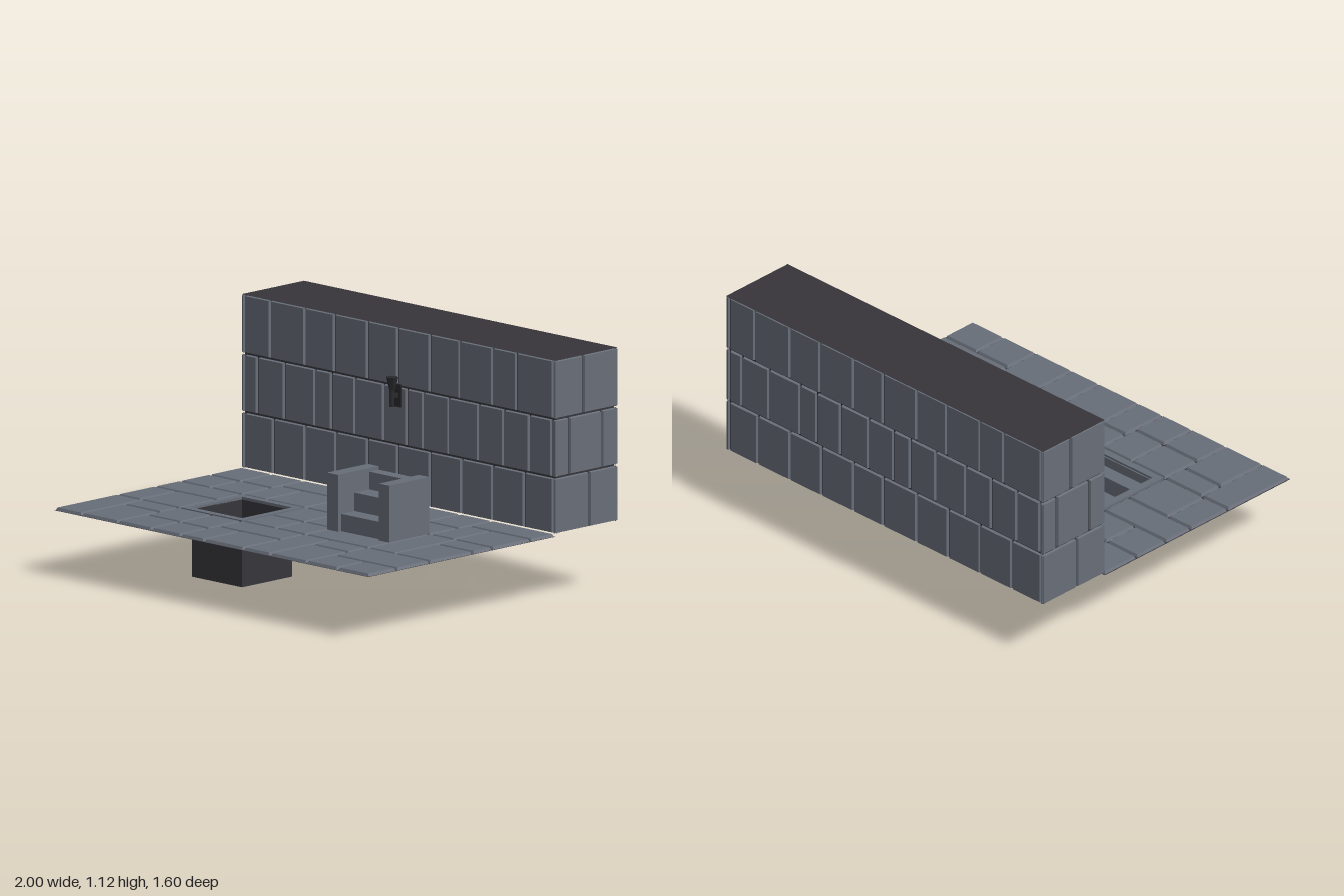
import * as THREE from 'three';
import { mergeGeometries } from 'three/addons/utils/BufferGeometryUtils.js';

const FLOOR = 0.32, BED = 0.307;

// Box given by its low and high corners
function boxGeo(x0, x1, y0, y1, z0, z1) {
  return new THREE.BoxGeometry(x1 - x0, y1 - y0, z1 - z0)
    .translate((x0 + x1) / 2, (y0 + y1) / 2, (z0 + z1) / 2);
}

// Bevelled stone lying in the xy plane, rising along +z
function stoneGeo(x0, x1, y0, y1, depth, bevel = 0.006) {
  const w = x1 - x0, h = y1 - y0;
  const g = new THREE.BoxGeometry(w, h, depth).toNonIndexed();
  const p = g.attributes.position;
  for (let i = 0; i < p.count; i++) {
    if (p.getZ(i) < 0) continue;
    p.setX(i, p.getX(i) - Math.sign(p.getX(i)) * bevel);
    p.setY(i, p.getY(i) - Math.sign(p.getY(i)) * bevel);
  }
  g.computeVertexNormals();
  return g.translate((x0 + x1) / 2, (y0 + y1) / 2, depth / 2);
}

// Rows of bricks across one wall face, split at the given positions
function brickFace(half, cuts) {
  const rows = [[0.847, 1.118], [0.577, 0.847], [0.32, 0.577]];
  const parts = [];
  rows.forEach(([y0, y1], r) => {
    const xs = [-half, ...cuts[r], half];
    for (let i = 0; i < xs.length - 1; i++) {
      const a = xs[i] + (i ? 0.005 : 0);
      const b = xs[i + 1] - (i < xs.length - 2 ? 0.005 : 0);
      parts.push(stoneGeo(a, b, y0 + (r < 2 ? 0.004 : 0), y1 - (r ? 0.004 : 0), 0.013, 0.004));
    }
  });
  return mergeGeometries(parts);
}

export function createModel() {
  const stone = new THREE.MeshStandardMaterial({ color: 0x686e79, side: THREE.DoubleSide });
  stone.name = 'stone';
  const mortar = new THREE.MeshStandardMaterial({ color: 0x37353b, side: THREE.DoubleSide });
  mortar.name = 'mortar';
  const metal = new THREE.MeshStandardMaterial({ color: 0x29292d });
  metal.name = 'dark metal';

  const model = new THREE.Group();
  model.name = 'dungeonRoom';
  const group = (name) => {
    const g = new THREE.Group();
    g.name = name;
    model.add(g);
    return g;
  };
  const add = (parent, name, geo, mat) => {
    const m = new THREE.Mesh(geo, mat);
    m.name = name;
    parent.add(m);
    return m;
  };

  // Wall core, open underneath
  const wall = group('wall');
  const core = boxGeo(-0.988, 0.988, 0.32, 1.115, -0.788, -0.412);
  const idx = Array.from(core.index.array);
  idx.splice(18, 6);
  core.setIndex(idx);
  add(wall, 'wallMortar', core, mortar);
  add(wall, 'wallTop', new THREE.PlaneGeometry(2, 0.4).rotateX(-Math.PI / 2).translate(0, 1.12, -0.6), mortar);

  // Brick faces: front and back, then both ends
  const longCuts = [
    [-0.98, -0.82, -0.6, -0.41, -0.2, -0.01, 0.2, 0.39, 0.6, 0.75, 0.985],
    [-0.98, -0.9, -0.73, -0.535, -0.43, -0.28, -0.1, 0.055, 0.16, 0.32, 0.51, 0.67, 0.83, 0.975],
    [-0.98, -0.8, -0.6, -0.4, -0.2, -0.01, 0.2, 0.4, 0.6, 0.8, 0.985],
  ];
  const endCuts = [[-0.02], [-0.11, 0.1], [0.02]];
  for (const s of [1, -1]) {
    const face = add(wall, s > 0 ? 'frontBricks' : 'backBricks', brickFace(1, longCuts), stone);
    face.rotation.y = s > 0 ? 0 : Math.PI;
    face.position.z = -0.6 + s * 0.187;
    const end = add(wall, s > 0 ? 'leftEndBricks' : 'rightEndBricks', brickFace(0.2, endCuts), stone);
    end.rotation.y = s * Math.PI / 2;
    end.position.set(s * 0.987, 0, -0.6);
  }

  // Inner partitions between wall sections
  for (const x of [-0.985, -0.6, -0.2, 0.2, 0.6, 0.985]) {
    add(wall, 'wallPartition',
      new THREE.PlaneGeometry(0.37, 0.78).rotateY(Math.PI / 2).translate(x, 0.715, -0.6), stone);
  }

  // Floor bed with the pit opening (shape y is -z)
  const floor = group('floor');
  const rect = (T, x0, x1, z0, z1) => new T([[x0, -z0], [x1, -z0], [x1, -z1], [x0, -z1]]
    .map(([x, y]) => new THREE.Vector2(x, y)));
  const bed = rect(THREE.Shape, -1, 1, -0.4, 0.8);
  bed.holes.push(rect(THREE.Path, -0.56, -0.24, 0.04, 0.36));
  add(floor, 'floorBed', new THREE.ShapeGeometry(bed).rotateX(-Math.PI / 2).translate(0, BED, 0), mortar);

  // Paving stones: x0, x1, z0, z1
  const paving = [
    [-1, -0.8, -0.4, -0.19], [-0.8, -0.6, -0.4, -0.19], [-1, -0.805, -0.19, 0], [-0.805, -0.6, -0.19, 0],
    [-0.6, -0.2, -0.4, -0.245], [-0.6, -0.45, -0.245, 0], [-0.45, -0.2, -0.245, 0],
    [-0.2, -0.03, -0.4, 0], [-0.03, 0.2, -0.4, -0.28], [-0.03, 0.2, -0.28, 0],
    [0.2, 0.4, -0.4, -0.18], [0.4, 0.6, -0.4, -0.18], [0.2, 0.41, -0.18, 0], [0.41, 0.6, -0.18, 0],
    [0.6, 1, -0.4, -0.245], [0.6, 0.75, -0.245, 0], [0.75, 1, -0.245, 0],
    [-1, -0.6, 0, 0.16], [-1, -0.85, 0.16, 0.4], [-0.85, -0.6, 0.16, 0.4],
    [-0.2, 0.01, 0, 0.215], [0.01, 0.2, 0, 0.215], [-0.2, 0.01, 0.215, 0.4], [0.01, 0.2, 0.215, 0.4],
  ];
  paving.push(
    [0.2, 0.6, 0, 0.4], [0.6, 0.77, 0, 0.4], [0.77, 1, 0, 0.125], [0.77, 1, 0.125, 0.4],
    [-1, -0.83, 0.4, 0.8], [-0.83, -0.6, 0.4, 0.525], [-0.83, -0.6, 0.525, 0.8],
    [-0.6, -0.385, 0.4, 0.61], [-0.385, -0.2, 0.4, 0.615], [-0.6, -0.385, 0.61, 0.8], [-0.385, -0.2, 0.615, 0.8],
    [-0.2, 0.2, 0.4, 0.555], [-0.2, -0.05, 0.555, 0.8], [-0.05, 0.2, 0.555, 0.8],
    [0.2, 0.37, 0.4, 0.8], [0.37, 0.6, 0.4, 0.525], [0.37, 0.6, 0.525, 0.8],
    [0.6, 1, 0.4, 0.615], [0.6, 0.8, 0.615, 0.8], [0.8, 1, 0.615, 0.8],
  );
  const gap = 0.005;
  const slabs = paving.map(([x0, x1, z0, z1]) =>
    stoneGeo(x0 + gap, x1 - gap, -z1 + gap, -z0 - gap, FLOOR - BED)
      .rotateX(-Math.PI / 2).translate(0, BED, 0));
  add(floor, 'pavingStones', mergeGeometries(slabs), stone);

  // Stone frame around the pit
  const rim = rect(THREE.Shape, -0.595, -0.205, 0.005, 0.395);
  rim.holes.push(rect(THREE.Path, -0.56, -0.24, 0.04, 0.36));
  add(floor, 'pitRim', new THREE.ExtrudeGeometry(rim, { depth: FLOOR - BED, bevelEnabled: false })
    .rotateX(-Math.PI / 2).translate(0, BED, 0), stone);

  // Sunken stairwell, open on top
  const pit = group('stairwell');
  const well = boxGeo(-0.56, -0.24, 0, 0.31, 0.04, 0.36);
  const wi = Array.from(well.index.array);
  wi.splice(12, 6);
  well.setIndex(wi);
  add(pit, 'wellWalls', well, mortar);
  add(pit, 'topRiser', boxGeo(-0.56, -0.24, 0.265, 0.31, 0.354, 0.362), stone);
  for (let i = 0; i < 4; i++) {
    const z = 0.28 - i * 0.08;
    add(pit, 'descendingStep', boxGeo(-0.557, -0.243, 0.005, 0.265 - i * 0.075, z + 0.002, z + 0.078),
      i < 2 ? stone : mortar);
  }

  // Raised stairs between two cheek blocks
  const stairs = group('raisedStairs');
  add(stairs, 'cheekBlock', boxGeo(0.2, 0.27, FLOOR, 0.583, 0, 0.26), stone);
  add(stairs, 'cheekBlock', boxGeo(0.53, 0.595, FLOOR, 0.583, 0, 0.26), stone);
  [[0.4, 0.24], [0.485, 0.155], [0.567, 0.06]].forEach(([y, z], i, all) => {
    add(stairs, 'step', boxGeo(0.27, 0.53, i ? all[i - 1][0] : FLOOR, y, 0, z), stone);
  });

  // Wall torch: back plate, arm, shaft and flared cup
  const torch = group('wallTorch');
  add(torch, 'backPlate', boxGeo(-0.022, 0.022, 0.755, 0.86, -0.401, -0.39), metal);
  add(torch, 'arm', boxGeo(-0.008, 0.008, 0.8, 0.82, -0.395, -0.358), metal);
  add(torch, 'shaft', new THREE.CylinderGeometry(0.012, 0.012, 0.08, 6).toNonIndexed()
    .translate(-0.003, 0.8, -0.358), metal);
  add(torch, 'cup', new THREE.CylinderGeometry(0.028, 0.013, 0.062, 6).toNonIndexed()
    .translate(-0.003, 0.866, -0.361), metal);
  torch.children.forEach((m) => m.geometry.computeVertexNormals());

  return model;
}
